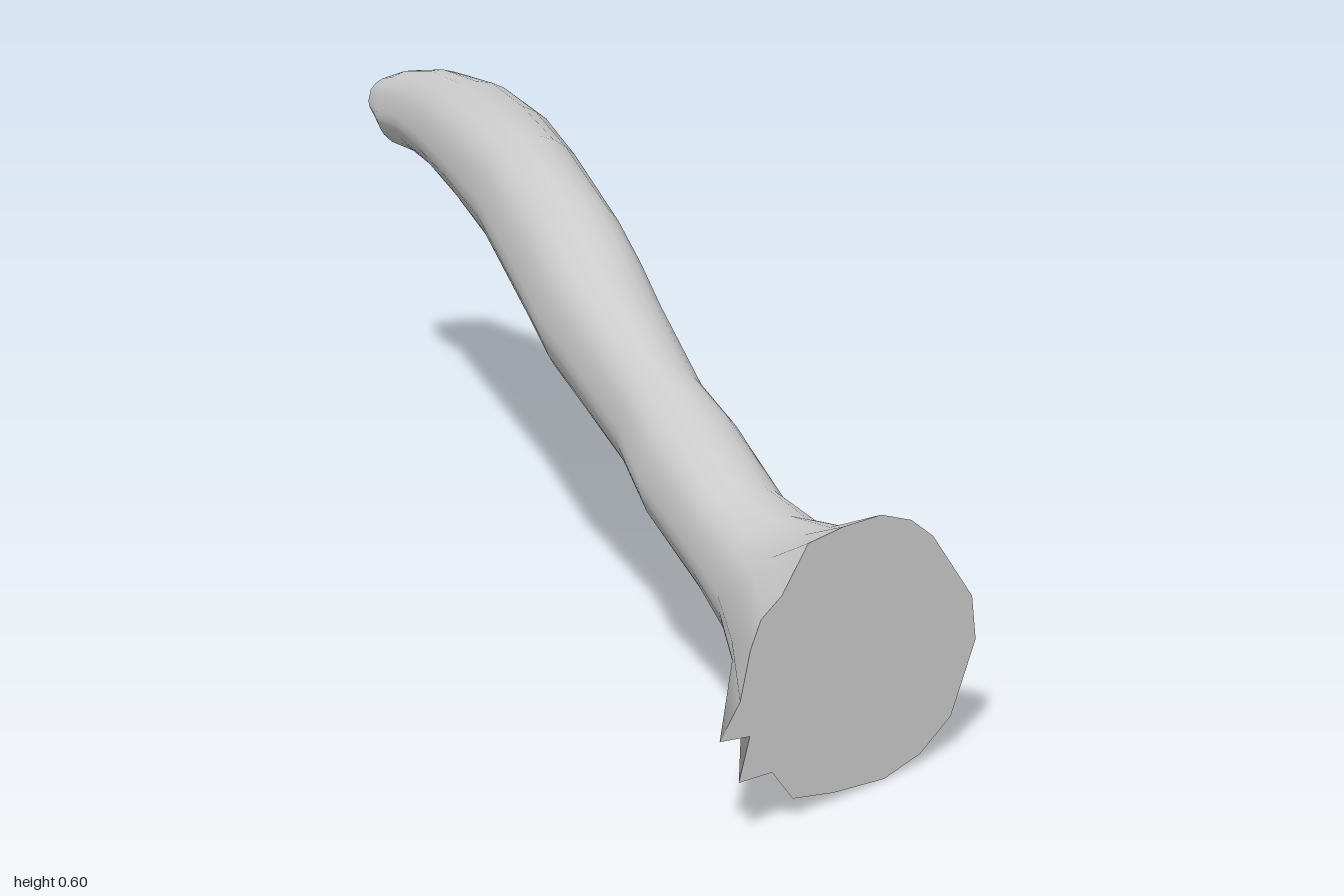
import * as THREE from 'three';

// Shaft stations: centre x, y, z, half width, half height, turn about y
const STATIONS = [
  [-0.965, 0.49, -0.845, 0.056, 0.046, 0.66],
  [-0.9, 0.487, -0.805, 0.068, 0.067, 0.66],
  [-0.8, 0.495, -0.755, 0.077, 0.076, 0.7],
  [-0.6, 0.512, -0.595, 0.094, 0.084, 0.7],
  [-0.4, 0.515, -0.425, 0.098, 0.09, 0.7],
  [-0.2, 0.502, -0.255, 0.091, 0.096, 0.68],
  [0, 0.437, -0.105, 0.09, 0.108, 0.66],
  [0.1, 0.395, -0.028, 0.088, 0.112, 0.66],
  [0.2, 0.365, 0.045, 0.082, 0.1, 0.66],
  [0.38, 0.31, 0.175, 0.073, 0.084, 0.63],
  [0.5, 0.277, 0.268, 0.08, 0.096, 0.63],
  [0.67, 0.225, 0.385, 0.078, 0.09, 0.6],
  [0.77, 0.195, 0.43, 0.1, 0.1, 0.5],
  [0.86, 0.175, 0.47, 0.152, 0.124, 0.27],
];

// Ragged outline of the flared end as z, y
const RIM = [
  [0.275, 0.185], [0.346, 0.28], [0.39, 0.31], [0.455, 0.33], [0.54, 0.332],
  [0.62, 0.327], [0.69, 0.275], [0.74, 0.255], [0.77, 0.223], [0.805, 0.166],
  [0.857, 0.128], [0.795, 0.12], [0.83, 0.07], [0.76, 0.066], [0.725, 0.024],
  [0.64, 0.01], [0.526, 0], [0.44, 0.012], [0.36, 0.043], [0.28, 0.128],
];
const N = RIM.length;
const rimPoint = (z, y) => [1 - 0.18 * y, y, z];
const ANGLES = RIM.map(([z, y]) => Math.atan2((y - 0.165) / 0.165, (0.56 - z) / 0.28));

function makeGeometry(points, index) {
  const geometry = new THREE.BufferGeometry();
  geometry.setAttribute('position', new THREE.Float32BufferAttribute(points.flat(), 3));
  geometry.setIndex(index);
  geometry.computeVertexNormals();
  return geometry;
}

// Flat fan closing a ring of points
function makeCap(centre, ring, flip) {
  const index = [];
  for (let i = 0; i < N; i++) {
    const a = 1 + i, b = 1 + (i + 1) % N;
    index.push(0, ...(flip ? [b, a] : [a, b]));
  }
  return makeGeometry([centre, ...ring], index);
}

export function createModel() {
  const grey = new THREE.MeshStandardMaterial({ color: 0xcccccc });
  grey.name = 'light grey';
  const group = new THREE.Group();
  group.name = 'branch';
  const add = (name, geometry) => {
    const mesh = new THREE.Mesh(geometry, grey);
    mesh.name = name;
    group.add(mesh);
  };

  // Elliptical rings with slight knobbly variation, ending at the ragged rim
  const rings = STATIONS.map(([x, y, z, w, h, turn], k) => ANGLES.map((t) => {
    const r = 1 + 0.02 * Math.sin(3 * t + k * 1.7);
    const side = -Math.cos(t) * w * r;
    return [x - Math.sin(turn) * side, y + Math.sin(t) * h * r, z + Math.cos(turn) * side];
  }));
  rings.push(RIM.map(([z, y]) => rimPoint(z, y)));

  // Skin between neighbouring rings
  const index = [];
  for (let k = 0; k < rings.length - 1; k++) {
    for (let i = 0; i < N; i++) {
      const j = (i + 1) % N;
      const a = k * N + i, b = k * N + j, c = a + N, d = b + N;
      index.push(a, b, c, b, d, c);
    }
  }
  add('shaft', makeGeometry(rings.flat(), index));

  // Flat ends
  add('tipEnd', makeCap([-0.972, 0.49, -0.85], rings[0], true));
  add('flaredEnd', makeCap(rimPoint(0.56, 0.165), rings[rings.length - 1], false));
  return group;
}
